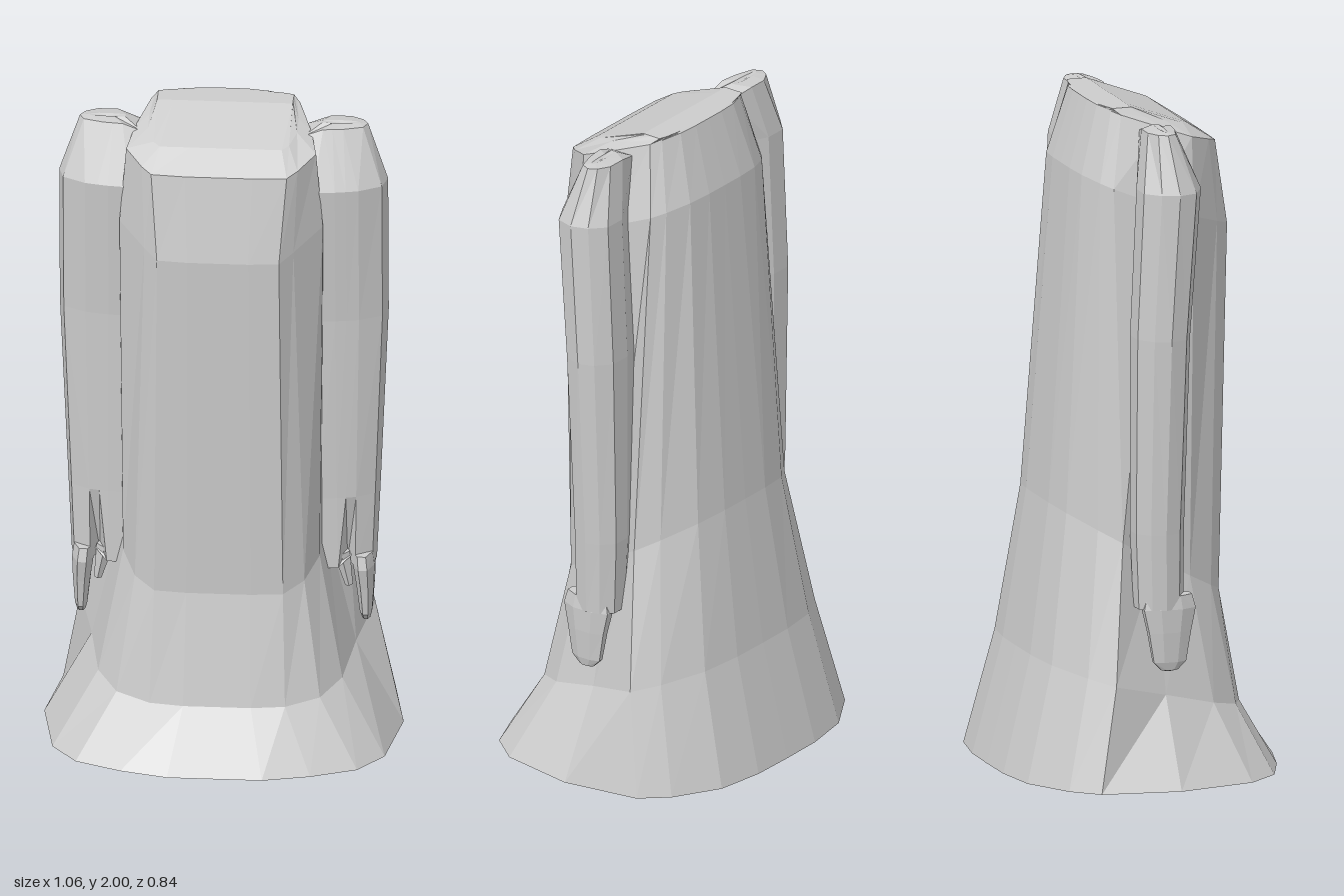
import * as THREE from 'three';

const material = new THREE.MeshStandardMaterial({ color: 0xcccccc, flatShading: true, side: THREE.DoubleSide });

// Skin a stack of equal-length closed rings, bottom to top
function loft(name, rings) {
  const n = rings[0].length;
  const index = [];
  for (let i = 0; i < rings.length - 1; i++) {
    for (let j = 0; j < n; j++) {
      const a = i * n + j, b = i * n + (j + 1) % n;
      index.push(a, b, b + n, a, b + n, a + n);
    }
  }
  const geometry = new THREE.BufferGeometry();
  geometry.setAttribute('position', new THREE.Float32BufferAttribute(rings.flat(2), 3));
  geometry.setIndex(index);
  const flat = geometry.toNonIndexed();
  flat.computeVertexNormals();
  const mesh = new THREE.Mesh(flat, material);
  mesh.name = name;
  return mesh;
}

// Tilted robe ring: front and back are [y, z], side holds [x, z] from the front edge to the back corner
function robeRing({ front, back, side }) {
  const [yf, zf] = front, [yb, zb] = back;
  const [xc, zc] = side[side.length - 1];
  const half = [[side[0][0] / 2, zf], ...side];
  for (const f of [0.86, 0.58, 0.28]) half.push([xc * f, zc + (zb - zc) * (1 - f ** 3.6)]);
  const mirrored = half.map(([x, z]) => [-x, z]).reverse();
  return [[0, zf], ...half, [0, zb], ...mirrored].map(([x, z]) => {
    const t = zf === zb ? 0 : (zf - z) / (zf - zb);
    return [x, yf + (yb - yf) * t, z];
  });
}

function createRobe() {
  const levels = [
    // flared hem
    { front: [0, 0.42], back: [0, -0.42], side: [[0.28, 0.385], [0.415, 0.33], [0.49, 0.235], [0.53, 0], [0.49, -0.235]] },
    { front: [0.18, 0.305], back: [0.35, -0.33], side: [[0.2, 0.295], [0.3, 0.25], [0.36, 0.16], [0.39, 0], [0.435, -0.17]] },
    // waist and chest
    { front: [0.52, 0.24], back: [0.8, -0.265], side: [[0.19, 0.235], [0.25, 0.19], [0.29, 0.11], [0.3, 0], [0.35, -0.12]] },
    { front: [1.62, 0.27], back: [1.8, -0.19], side: [[0.18, 0.265], [0.22, 0.22], [0.3, 0.12], [0.3, 0], [0.27, -0.12]] },
    // collar and sloping top
    { front: [1.88, 0.225], back: [2, -0.13], side: [[0.2, 0.22], [0.23, 0.19], [0.28, 0.12], [0.26, 0.03], [0.22, -0.08]] },
    { front: [1.935, 0.14], back: [2, -0.125], side: [[0.18, 0.14], [0.2, 0.12], [0.22, 0.06], [0.22, 0], [0.21, -0.09]] },
    { front: [2, -0.04], back: [2, -0.12], side: [[0.15, -0.04], [0.2, -0.04], [0.2, -0.05], [0.2, -0.07], [0.2, -0.1]] },
    { front: [2, -0.08], back: [2, -0.08], side: Array(5).fill([0, -0.08]) },
  ];
  return loft('robe', levels.map(robeRing));
}

// Sleeve section in unit space: u inner to outer, v back to front
const sleeveSection = [[0, 1], [0.3, 0.97], [0.45, 0.94], [0.62, 0.9], [0.93, 0.72], [1, 0.45],
  [0.92, 0.2], [0.72, 0], [0.4, 0], [0, 0.2]];

function sleeveRing([y, x0, x1, z0, z1, fold = 0]) {
  return sleeveSection.map(([u, v], i) => [x0 + (x1 - x0) * u, y, z0 + (z1 - z0) * v - (i === 2 ? fold : 0)]);
}

function createArm(side) {
  const arm = new THREE.Group();
  arm.name = side > 0 ? 'leftArm' : 'rightArm';

  // Sleeve with a small fold at the cuff; columns are y, x range, z range, fold depth
  const sleeve = [
    [0.56, 0.38, 0.4, -0.02, 0.02],
    [0.53, 0.295, 0.45, -0.09, 0.07, 0.06],
    [0.76, 0.285, 0.46, -0.1, 0.072],
    [1.35, 0.27, 0.485, -0.1, 0.09],
    [1.79, 0.27, 0.485, -0.08, 0.125],
    [1.96, 0.24, 0.425, -0.05, 0.05],
    [1.965, 0.29, 0.4, -0.01, 0.01],
  ].map(sleeveRing);
  // Shoulder dips toward the collar
  for (const i of [0, 9]) sleeve[5][i][1] = 1.94;
  sleeve.push(sleeve[6].map(() => [0.35, 1.96, 0]));
  arm.add(loft('sleeve', sleeve));

  // Tapered hand: y, centre x, half width, half depth
  const hand = [
    [0.34, 0.42, 0, 0],
    [0.345, 0.42, 0.012, 0.025],
    [0.37, 0.42, 0.018, 0.05],
    [0.46, 0.418, 0.026, 0.065],
    [0.53, 0.414, 0.032, 0.08],
    [0.57, 0.41, 0.03, 0.07],
    [0.57, 0.41, 0, 0],
  ].map(([y, x, w, d]) => Array.from({ length: 8 }, (_, i) => {
    const a = (i + 0.5) * Math.PI / 4;
    return [x + w * Math.sin(a) * 1.08, y, d * Math.cos(a) * 1.08];
  }));
  arm.add(loft('hand', hand));

  const thumb = new THREE.Mesh(new THREE.CylinderGeometry(0.026, 0.012, 0.11, 5), material);
  thumb.name = 'thumb';
  thumb.position.set(0.36, 0.51, 0.02);
  thumb.rotation.z = 0.2;
  arm.add(thumb);

  arm.scale.x = side;
  return arm;
}

export function createModel() {
  const model = new THREE.Group();
  model.name = 'robedTorso';
  model.add(createRobe(), createArm(1), createArm(-1));
  return model;
}
